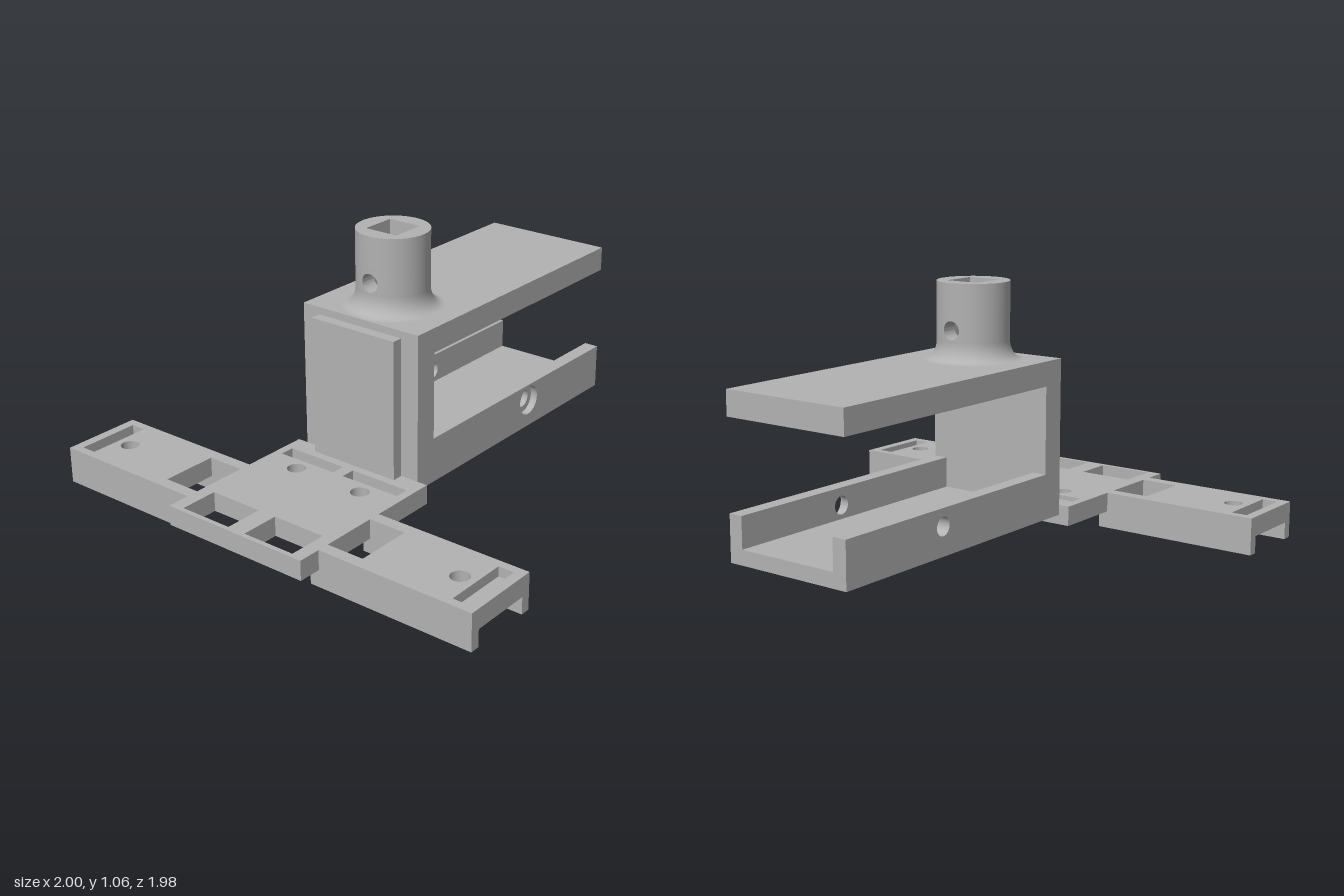
import * as THREE from 'three';
import { toCreasedNormals } from 'three/addons/utils/BufferGeometryUtils.js';

const grey = new THREE.MeshStandardMaterial({ color: 0xb2b2b2 });
grey.name = 'grey';

function add(parent, name, geometry) {
  const mesh = new THREE.Mesh(geometry, grey);
  mesh.name = name;
  parent.add(mesh);
  return mesh;
}

function box(parent, name, x0, x1, y0, y1, z0, z1) {
  add(parent, name, new THREE.BoxGeometry(x1 - x0, y1 - y0, z1 - z0)
    .translate((x0 + x1) / 2, (y0 + y1) / 2, (z0 + z1) / 2));
}

const polygon = (pts) => new THREE.Shape(pts.map(([x, y]) => new THREE.Vector2(x, y)));
const rect = (x0, x1, y0, y1) => polygon([[x0, y0], [x1, y0], [x1, y1], [x0, y1]]);
const circle = (x, y, r) => new THREE.Shape().absarc(x, y, r, 0, Math.PI * 2, false);
const extrude = (shape, depth) =>
  new THREE.ExtrudeGeometry(shape, { depth, bevelEnabled: false, curveSegments: 32 });

// C-shaped bracket built from slices across z: rails with bolt holes, channel between
function buildBracket(root) {
  const g = new THREE.Group();
  g.name = 'bracket';
  const slices = [
    ['backRail', -0.28, -0.22, 0.295, 0.037],
    ['channel', -0.22, 0.22, 0.17, 0],
    ['frontRailInner', 0.22, 0.25, 0.295, 0.037],
    ['frontRailCounterbore', 0.25, 0.28, 0.295, 0.062],
  ];
  for (const [name, z0, z1, low, hole] of slices) {
    const s = polygon([[-0.28, 0.11], [1, 0.11], [1, low], [-0.18, low],
      [-0.18, 0.65], [1, 0.65], [1, 0.75], [-0.28, 0.75]]);
    if (hole) s.holes.push(circle(0.47, 0.225, hole));
    add(g, name, extrude(s, z1 - z0).translate(0, 0, z0));
  }
  box(g, 'rearPad', -0.325, -0.28, 0.11, 0.72, -0.2, 0.2);
  root.add(g);
}

// Cross-shaped base plate: upper layer carries the blind slots
function buildBase(root) {
  const g = new THREE.Group();
  g.name = 'base';
  const layer = (name, top, depth, slots) => {
    const s = polygon([
      [-1, -0.325], [-0.905, -0.325], [-0.905, -0.99], [-0.57, -0.99], [-0.57, -0.325], [-0.28, -0.325],
      [-0.28, 0.325], [-0.57, 0.325], [-0.57, 0.99], [-0.905, 0.99], [-0.905, 0.325], [-1, 0.325]]);
    for (const m of [-1, 1]) {
      s.holes.push(
        rect(-0.98, -0.82, m * 0.04, m * 0.27),
        rect(-0.855, -0.62, m * 0.325, m * 0.485),
        circle(-0.74, m * 0.82, 0.037),
        circle(-0.48, m * 0.16, 0.037));
      if (slots) {
        s.holes.push(
          rect(-0.42, -0.36, m * 0.025, m * 0.29),
          rect(-0.87, -0.605, m * 0.885, m * 0.95));
      }
    }
    add(g, name, extrude(s, depth).rotateX(Math.PI / 2).translate(0, top, 0));
  };
  layer('plateUpper', 0.15, 0.04, true);
  layer('plateLower', 0.11, 0.04, false);

  // Flanges under both arms
  for (const m of [-1, 1]) {
    const z0 = m > 0 ? 0.285 : -0.99, z1 = m > 0 ? 0.99 : -0.285;
    box(g, 'outerFlange', -0.905, -0.865, 0, 0.07, z0, z1);
    box(g, 'innerFlange', -0.61, -0.57, 0, 0.07, z0, z1);
  }
  root.add(g);
}

// Curved wall patch with a round cross hole, facing +x, including the hole's tunnel
function holedPatch(R, b, h, cy, r) {
  const cols = 48, steps = 6, pos = [], index = [];
  for (let i = 0; i <= steps + 1; i++) {
    const k = Math.max(0, i - 1) / steps;
    for (let j = 0; j <= cols; j++) {
      const t = (j / cols) * Math.PI * 2, c = Math.cos(t), s = Math.sin(t);
      const m = Math.max(Math.abs(c), Math.abs(s));
      const z = THREE.MathUtils.lerp(r * c, (b * c) / m, k);
      const y = THREE.MathUtils.lerp(r * s, (h * s) / m, k);
      pos.push(i === 0 ? b : Math.sqrt(R * R - z * z), cy + y, z);
    }
  }
  const w = cols + 1;
  for (let i = 0; i <= steps; i++) {
    for (let j = 0; j < cols; j++) {
      const a = i * w + j;
      index.push(a, a + 1, a + w, a + 1, a + w + 1, a + w);
    }
  }
  const geo = new THREE.BufferGeometry();
  geo.setAttribute('position', new THREE.Float32BufferAttribute(pos, 3));
  geo.setIndex(index);
  return toCreasedNormals(geo, 0.6);
}

// Round socket with filleted foot, square bore and a cross hole along x
function buildSocket(root) {
  const g = new THREE.Group();
  g.name = 'socket';
  g.position.x = -0.075;
  const R = 0.145, b = 0.0725, y0 = 0.75, y1 = 1.06, cy = 0.875, h = 0.05, r = 0.037;

  const foot = [];
  for (let i = 0; i <= 12; i++) {
    const a = (i / 12) * Math.PI / 2;
    foot.push(new THREE.Vector2(0.2 - 0.055 * Math.sin(a), cy - h - 0.075 * Math.cos(a)));
  }
  add(g, 'filletedFoot', new THREE.LatheGeometry(foot, 72));
  const wall = (a, c) => [new THREE.Vector2(R, a), new THREE.Vector2(R, c)];
  add(g, 'upperWall', new THREE.LatheGeometry(wall(cy + h, y1), 72));

  const rim = circle(0, 0, R);
  rim.holes.push(rect(-b, b, -b, b));
  add(g, 'rim', new THREE.ShapeGeometry(rim, 72).rotateX(-Math.PI / 2).translate(0, y1, 0));

  for (const turn of [0, Math.PI]) {
    const half = new THREE.Group();
    half.name = 'socketHalf';
    half.rotation.y = turn;
    add(half, 'middleWall', new THREE.LatheGeometry(wall(cy - h, cy + h), 24, -Math.PI / 3, Math.PI * 2 / 3));
    add(half, 'crossHole', holedPatch(R, b, h, cy, r));
    const side = rect(-b, b, y0, y1);
    side.holes.push(circle(0, cy, r));
    add(half, 'boreHoledWall', new THREE.ShapeGeometry(side, 48).rotateY(-Math.PI / 2).translate(b, 0, 0));
    add(half, 'borePlainWall', new THREE.PlaneGeometry(2 * b, y1 - y0)
      .rotateY(Math.PI).translate(0, (y0 + y1) / 2, b));
    g.add(half);
  }
  root.add(g);
}

export function createModel() {
  const root = new THREE.Group();
  root.name = 'mountingBracket';
  buildBracket(root);
  buildBase(root);
  buildSocket(root);
  return root;
}
